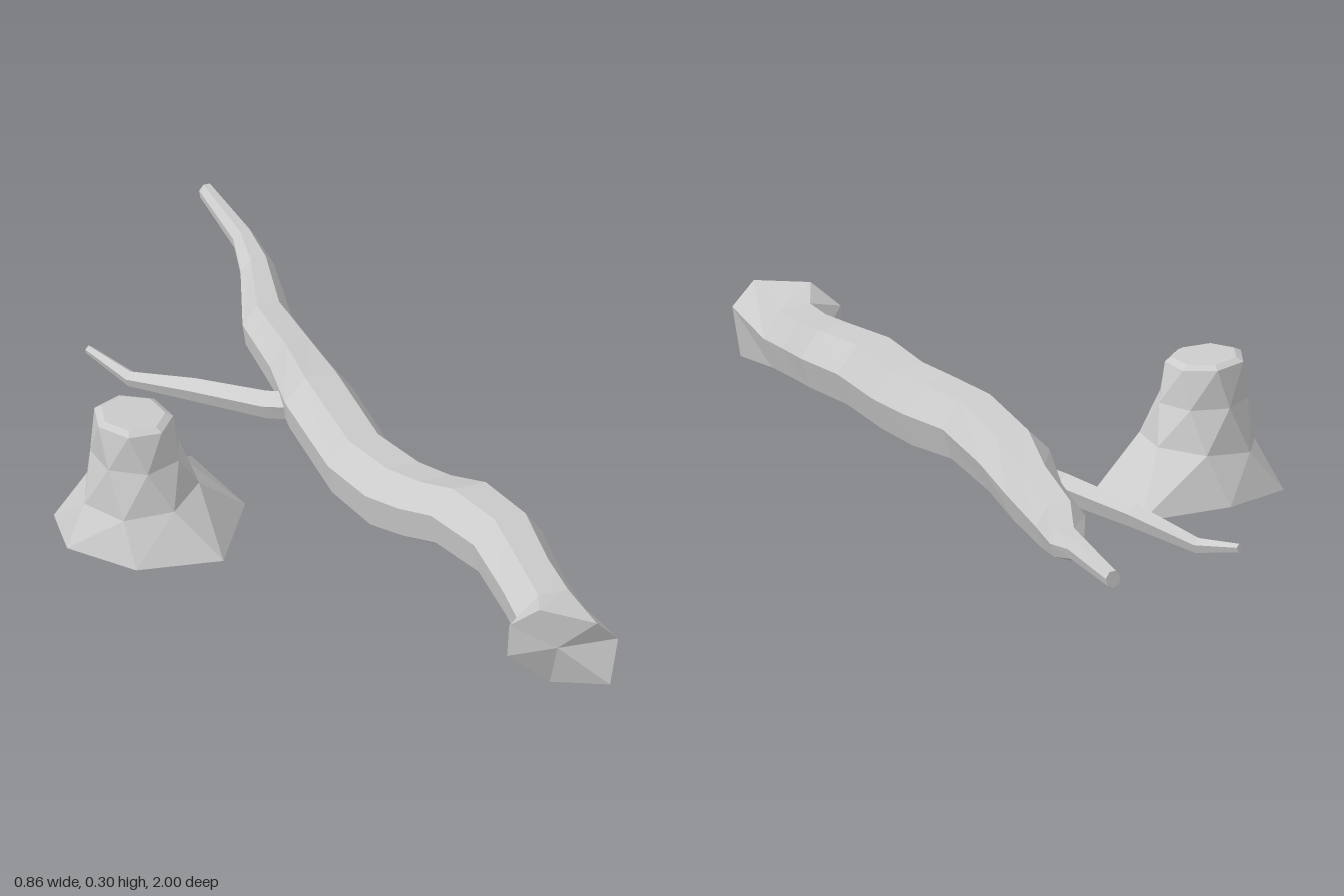
import * as THREE from 'three';

const SIDES = 7;
const STEP = (Math.PI * 2) / SIDES;
const rad = THREE.MathUtils.degToRad;
const V = (x, y, z) => new THREE.Vector3(x, y, z);

// Skin a list of equal-length rings (counter-clockwise around the travel direction) and cap both ends.
function loft(name, rings, endCentre) {
  const n = rings[0].length;
  const mean = (ring) => ring.reduce((s, p) => s.add(p), V(0, 0, 0)).divideScalar(n);
  const first = rings[0];
  const last = rings[rings.length - 1];
  const startMid = mean(first);
  const endMid = endCentre || mean(last);
  const points = [];
  for (let j = 0; j < n; j++) {
    const k = (j + 1) % n;
    for (let i = 0; i < rings.length - 1; i++) {
      const [a, b, c, d] = [rings[i][j], rings[i][k], rings[i + 1][k], rings[i + 1][j]];
      points.push(a, b, c, a, c, d);
    }
    points.push(startMid, first[k], first[j], endMid, last[j], last[k]);
  }
  const geometry = new THREE.BufferGeometry().setFromPoints(points);
  geometry.computeVertexNormals();
  const mesh = new THREE.Mesh(
    geometry,
    new THREE.MeshStandardMaterial({ color: 0xcccccc, flatShading: true })
  );
  mesh.name = name;
  return mesh;
}

// Seven-sided section at depth z, stretched to fill the given x and y extents.
function logRing([z, x0, x1, y0, y1]) {
  const angles = Array.from({ length: SIDES }, (_, j) => rad(60) + j * STEP);
  const cs = angles.map(Math.cos);
  const sn = angles.map(Math.sin);
  const fit = (v, all, lo, hi) =>
    THREE.MathUtils.mapLinear(v, Math.min(...all), Math.max(...all), lo, hi);
  return angles.map((_, j) => V(fit(cs[j], cs, x0, x1), fit(sn[j], sn, y0, y1), z));
}

function makeLog() {
  // z, then x and y extents, thin tip to thick end
  const rings = [
    [-1, 0.34, 0.375, 0.125, 0.165],
    [-0.79, 0.322, 0.375, 0.12, 0.175],
    [-0.69, 0.292, 0.375, 0.09, 0.165],
    [-0.52, 0.215, 0.335, 0.043, 0.165],
    [-0.33, 0.19, 0.322, 0.043, 0.185],
    [-0.16, 0.145, 0.313, 0.055, 0.21],
    [0.1, 0.125, 0.29, 0.045, 0.21],
    [0.24, 0.15, 0.325, 0.035, 0.212],
    [0.33, 0.185, 0.36, 0.052, 0.222],
    [0.43, 0.22, 0.4, 0.083, 0.253],
    [0.57, 0.258, 0.427, 0.083, 0.247],
    [0.72, 0.255, 0.407, 0.06, 0.22],
    [0.83, 0.242, 0.404, 0.045, 0.21],
  ].map(logRing);
  // Flared, slanting broken end
  rings.push([
    V(0.353, 0.22, 1), V(0.255, 0.23, 0.91), V(0.2, 0.18, 0.87), V(0.195, 0.1, 0.87),
    V(0.29, 0.015, 0.89), V(0.385, 0.047, 1), V(0.405, 0.165, 1),
  ]);
  return loft('fallenLog', rings, V(0.29, 0.13, 0.93));
}

function makeBranch() {
  // x, y, z, radius
  const path = [
    [0.24, 0.125, -0.16, 0.036],
    [0.15, 0.1, -0.25, 0.033],
    [0.05, 0.07, -0.41, 0.028],
    [-0.04, 0.033, -0.56, 0.018],
    [-0.09, 0.056, -0.675, 0.01],
  ];
  const centres = path.map(([x, y, z]) => V(x, y, z));
  const rings = path.map(([, , , r], i) => {
    const before = centres[Math.max(i - 1, 0)];
    const after = centres[Math.min(i + 1, path.length - 1)];
    const dir = after.clone().sub(before).normalize();
    const u = V(0, 1, 0).cross(dir).normalize();
    const v = dir.clone().cross(u);
    return Array.from({ length: 5 }, (_, j) => {
      const a = rad(90) + (j * Math.PI * 2) / 5;
      return centres[i].clone()
        .addScaledVector(u, r * Math.cos(a))
        .addScaledVector(v, r * Math.sin(a));
    });
  });
  return loft('sideBranch', rings);
}

function makeStump() {
  // Round section with a twist angle; tilt lowers (or lifts) it towards +x
  const ring = (cx, cz, r, y, twist, tilt) =>
    Array.from({ length: SIDES }, (_, j) => {
      const a = rad(twist) + j * STEP;
      return V(cx + r * Math.cos(a), y + tilt * Math.cos(a), cz - r * Math.sin(a));
    });
  // Spreading roots
  const base = [
    V(-0.145, 0, 0.13), V(-0.005, 0, -0.05), V(-0.03, 0, -0.27), V(-0.25, 0, -0.258),
    V(-0.405, 0, -0.195), V(-0.435, 0, -0.065), V(-0.335, 0, 0.08),
  ];
  return loft('stump', [
    base,
    ring(-0.25, -0.08, 0.132, 0.104, -80, 0.014),
    ring(-0.257, -0.08, 0.103, 0.202, -102, 0),
    ring(-0.265, -0.083, 0.09, 0.291, -122, -0.005),
    // Bevelled cut face
    ring(-0.265, -0.083, 0.073, 0.3, -122, -0.004),
  ]);
}

export function createModel() {
  const group = new THREE.Group();
  group.name = 'stumpAndFallenLog';
  group.add(makeStump(), makeLog(), makeBranch());
  return group;
}
